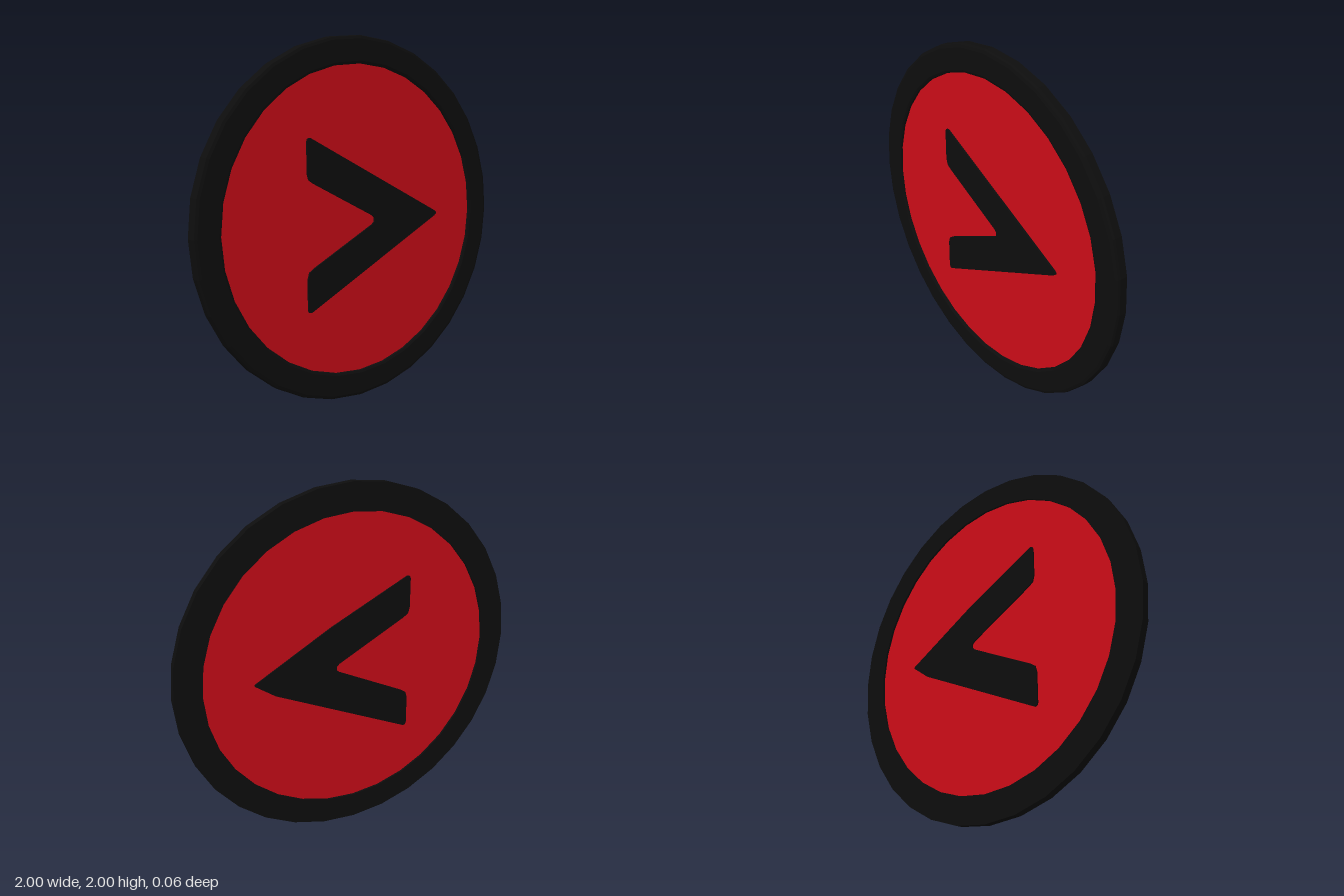
import * as THREE from 'three';

const black = new THREE.MeshStandardMaterial({ color: 0x0d0d0d, flatShading: true });
const red = new THREE.MeshStandardMaterial({ color: 0xcc0c18, flatShading: true });
const SIDES = 32;

// Profile of [radius, z] pairs turned around the z axis
function turned(name, profile, material) {
  const points = profile.map(([r, z]) => new THREE.Vector2(r, z));
  const geometry = new THREE.LatheGeometry(points, SIDES).rotateX(Math.PI / 2);
  const mesh = new THREE.Mesh(geometry, material);
  mesh.name = name;
  return mesh;
}

// Flat outline extruded from z0 to z1
function plate(name, outline, z0, z1) {
  const shape = new THREE.Shape(outline.map(([x, y]) => new THREE.Vector2(x, y)));
  const geometry = new THREE.ExtrudeGeometry(shape, { depth: z1 - z0, bevelEnabled: false });
  geometry.translate(0, 0, z0);
  const mesh = new THREE.Mesh(geometry, black);
  mesh.name = name;
  return mesh;
}

export function createModel() {
  const group = new THREE.Group();
  group.name = 'roundBadge';

  // Rim: softened front edges, square back
  const rim = turned('rim', [
    [1, -0.03], [1, 0.012], [0.995, 0.024], [0.98, 0.03],
    [0.865, 0.03], [0.853, 0.024], [0.85, 0.012], [0.85, -0.03], [1, -0.03],
  ], black);

  // Recessed red disc
  const disc = turned('disc', [[0, -0.018], [0.86, -0.018], [0.86, 0.014], [0, 0.014]], red);

  // Chevron with small rounded corners; upper half is mirrored below
  const inner = [[0.1, 0.01], [0.085, 0.025], [-0.31, 0.225], [-0.34, 0.245], [-0.35, 0.28]];
  const outer = [[-0.35, 0.445], [-0.345, 0.46], [-0.33, 0.463], [0.56, 0.015], [0.572, 0.004]];
  const mirror = (pts) => pts.map(([x, y]) => [x, -y]).reverse();
  const chevron = plate('chevronFront',
    [...inner, ...outer, ...mirror(outer), ...mirror(inner)], 0, 0.024);

  // Back chevron has slightly fuller edges toward the tip
  const backUpper = [...outer.slice(0, 3), [0.13, 0.245], outer[4]];
  const backLower = [[0.572, -0.004], [0.46, -0.085], ...mirror(outer.slice(0, 3))];
  const chevronBack = plate('chevronBack',
    [...inner, ...backUpper, ...backLower, ...mirror(inner)], -0.026, 0);

  group.add(rim, disc, chevron, chevronBack);
  group.children.forEach((part) => { part.position.y = 1; });
  return group;
}
